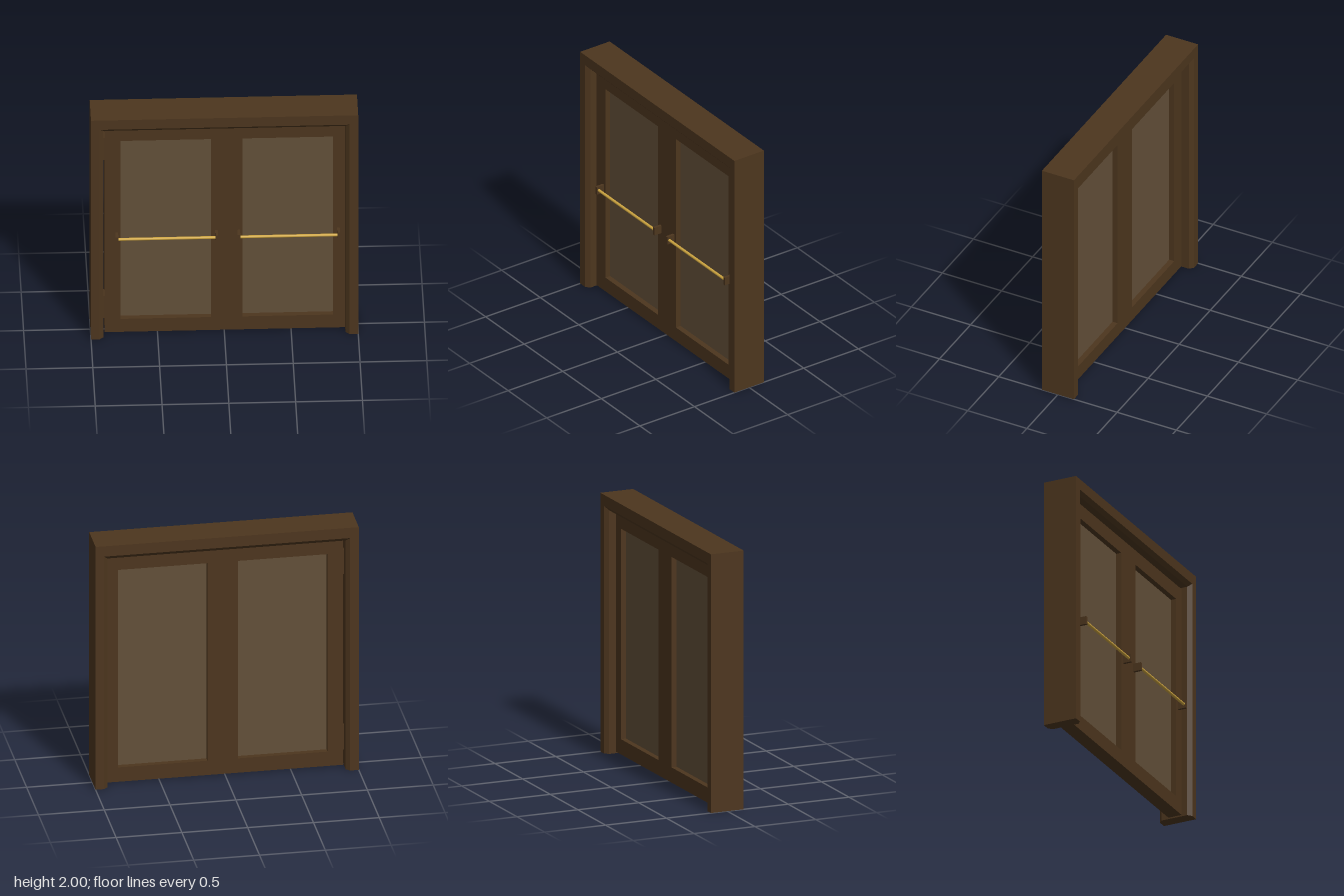
import * as THREE from 'three';

const mat = (color, side = THREE.FrontSide) => {
  const m = new THREE.MeshStandardMaterial({ color });
  m.side = side;
  return m;
};

// U-shaped casing: a chamfered profile swept up, across and down with mitred corners
function casingGeometry() {
  const profile = [
    [0, -0.135], [0, 0.135], [0.065, 0.135],
    [0.095, 0.107], [0.095, -0.107], [0.065, -0.135],
  ];
  const stations = [
    (d) => [-1 + d, 0],
    (d) => [-1 + d, d ? 1.98 - d : 2],
    (d) => [1 - d, d ? 1.98 - d : 2],
    (d) => [1 - d, 0],
  ];
  const rings = stations.map((s) => profile.map(([d, z]) => [...s(d), z]));
  const pos = [];
  const tri = (a, b, c) => pos.push(...a, ...b, ...c);
  const n = profile.length;
  for (let s = 0; s < 3; s++) {
    for (let i = 0; i < n; i++) {
      const j = (i + 1) % n;
      tri(rings[s][i], rings[s][j], rings[s + 1][j]);
      tri(rings[s][i], rings[s + 1][j], rings[s + 1][i]);
    }
  }
  // feet of the two jambs
  for (let i = 1; i < n - 1; i++) {
    tri(rings[0][0], rings[0][i + 1], rings[0][i]);
    tri(rings[3][0], rings[3][i], rings[3][i + 1]);
  }
  const g = new THREE.BufferGeometry();
  g.setAttribute('position', new THREE.Float32BufferAttribute(pos, 3));
  g.computeVertexNormals();
  return g;
}

// Rectangle path, used for outlines and openings
function rect(path, x0, y0, x1, y1) {
  path.moveTo(x0, y0);
  path.lineTo(x1, y0);
  path.lineTo(x1, y1);
  path.lineTo(x0, y1);
  path.closePath();
  return path;
}

export function createModel() {
  const root = new THREE.Group();
  root.name = 'doubleDoor';
  const wood = mat(0x4d361e);
  const glass = mat(0x635039, THREE.DoubleSide);
  const brass = mat(0xcfa640);

  const add = (parent, name, geometry, material, x = 0, y = 0, z = 0) => {
    const mesh = new THREE.Mesh(geometry, material);
    mesh.name = name;
    mesh.position.set(x, y, z);
    parent.add(mesh);
    return mesh;
  };

  add(root, 'casing', casingGeometry(), wood);

  // Two identical leaves, each with a recessed pane and a push bar
  const leafWidth = 0.913;
  for (let i = 0; i < 2; i++) {
    const leaf = new THREE.Group();
    leaf.name = i ? 'leftLeaf' : 'rightLeaf';
    leaf.position.x = -0.895 + i * leafWidth;
    root.add(leaf);

    // stiles and rails
    const outline = rect(new THREE.Shape(), 0, 0.012, leafWidth, 1.875);
    outline.holes.push(rect(new THREE.Path(), 0.117, 0.13, 0.797, 1.757));
    const frame = new THREE.ExtrudeGeometry(outline, { depth: 0.11, bevelEnabled: false });
    add(leaf, 'leafFrame', frame, wood, 0, 0, -0.05);

    add(leaf, 'pane', new THREE.BoxGeometry(0.69, 1.64, 0.025), glass, 0.457, 0.9435, 0.005);

    // push bar between two brackets
    const bar = new THREE.CylinderGeometry(0.011, 0.011, 0.74, 20).rotateZ(Math.PI / 2);
    add(leaf, 'pushBar', bar, brass, 0.463, 0.891, 0.108);
    for (const x of [0.09, 0.836]) {
      add(leaf, 'barBracket', new THREE.BoxGeometry(0.02, 0.064, 0.068), wood, x, 0.891, 0.092);
    }
  }

  // Hinges in the gap beside the right leaf
  for (const y of [0.235, 1.68]) {
    add(root, 'hinge', new THREE.BoxGeometry(0.02, 0.205, 0.09), wood, -0.9, y, 0.005);
  }

  return root;
}
